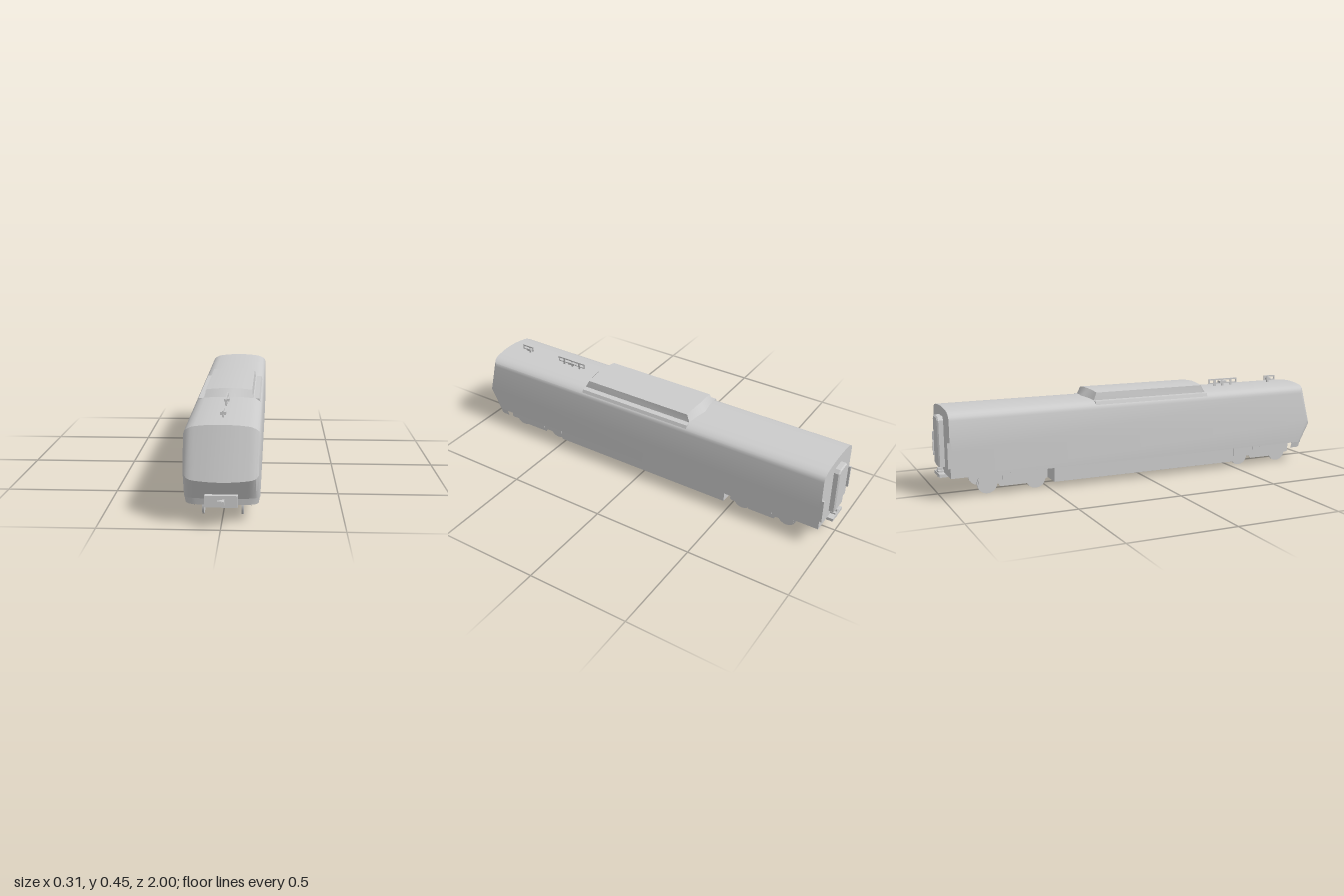
import * as THREE from 'three';
import { toCreasedNormals, mergeGeometries } from 'three/addons/utils/BufferGeometryUtils.js';

const grey = new THREE.MeshStandardMaterial({ color: 0xcccccc, side: THREE.DoubleSide });

// Surface through rows of [x, y, z] points
function grid(rows) {
  const n = rows[0].length, index = [];
  for (let i = 0; i < rows.length - 1; i++)
    for (let j = 0; j < n - 1; j++) {
      const a = i * n + j, d = a + n;
      index.push(a, a + 1, d + 1, a, d + 1, d);
    }
  const g = new THREE.BufferGeometry();
  g.setAttribute('position', new THREE.Float32BufferAttribute(rows.flat(2), 3));
  g.setIndex(index);
  return g;
}

const shape = (points) => new THREE.Shape(points.map((p) => new THREE.Vector2(...p)));

function add(parent, name, geometry) {
  const m = new THREE.Mesh(geometry, grey);
  m.name = name;
  parent.add(m);
  return m;
}

// Box given by its limits on each axis
function box(parent, name, [x0, x1], [y0, y1], [z0, z1]) {
  const m = add(parent, name, new THREE.BoxGeometry(x1 - x0, y1 - y0, z1 - z0));
  m.position.set((x0 + x1) / 2, (y0 + y1) / 2, (z0 + z1) / 2);
}

// The same box on both sides of the centre line
function boxPair(parent, name, [x0, x1], y, z) {
  box(parent, name, [x0, x1], y, z);
  box(parent, name, [-x1, -x0], y, z);
}

// Half width stations: x, roof height, height of nose crease, setback of nose
const half = [
  [0, 0.41, 0.187, 0], [0.04, 0.409, 0.188, 0.001], [0.07, 0.407, 0.189, 0.004],
  [0.11, 0.402, 0.192, 0.009], [0.125, 0.398, 0.194, 0.012], [0.14, 0.39, 0.199, 0.018],
  [0.151, 0.38, 0.211, 0.03], [0.156, 0.365, 0.222, 0.043],
];
const stations = [...half.slice(1).reverse().map(([x, ...r]) => [-x, ...r]), ...half];
const FLOOR = 0.104, BACK = -0.972;

function noseZ([, , crease, setback], y) {
  const t = y > crease ? 0.055 * (y - crease) / (0.41 - crease) : 0.05 * (crease - y) / (crease - FLOOR);
  return 0.97 - t - setback;
}

function buildBody(group) {
  const first = stations[0], last = stations[stations.length - 1];
  const outline = [
    [first, FLOOR], [first, first[2]],
    ...stations.map((s) => [s, s[1]]),
    [last, last[2]], ...[...stations].reverse().map((s) => [s, FLOOR]),
  ];
  const shell = grid(outline.map(([s, y]) => [[s[0], y, BACK], [s[0], y, noseZ(s, y)]]));
  const levels = [() => FLOOR, (s) => s[2], (s) => s[1]];
  const nose = grid(levels.map((f) => stations.map((s) => [s[0], f(s), noseZ(s, f(s))])));
  const rear = grid(levels.map((f) => [...stations].reverse().map((s) => [s[0], f(s), BACK])));
  add(group, 'bodyShell', toCreasedNormals(mergeGeometries([shell, nose, rear]), 0.52));
}

// Thin skirt that follows the nose below the floor, open at the rear
function buildApron(group) {
  const path = stations.map((s) => [s[0], noseZ(s, FLOOR)]);
  const edge = path[path.length - 1][0];
  path.unshift([-edge, 0.84]);
  path.push([edge, 0.84]);
  const row = (k, y, back) => path.map(([x, z]) => [x * k, y, z - back]);
  const rows = [row(0.96, 0.076, 0.005), row(0.99, FLOOR, 0)];
  add(group, 'frontApron', toCreasedNormals(grid(rows), 0.6));
}

// Raised roof housing with sloped, slightly pointed ends, and rails beside it
function buildRoofHousing(group) {
  const section = (z, bulge, w, y, crown) => {
    const row = [];
    for (let i = 0; i <= 8; i++) {
      const u = i / 4 - 1;
      row.push([u * w, y + crown * (1 - u * u), z + bulge * (1 - Math.abs(u))]);
    }
    return [[-0.113, 0.395, z], ...row, [0.113, 0.395, z]];
  };
  const rows = [
    section(0.335, 0.022, 0.113, 0.396, 0.012),
    section(0.313, 0.006, 0.107, 0.437, 0.008),
    section(-0.252, -0.006, 0.107, 0.437, 0.008),
    section(-0.27, -0.022, 0.113, 0.396, 0.012),
  ];
  add(group, 'roofHousing', toCreasedNormals(grid(rows), 0.4));
  for (const s of [-1, 1]) {
    const profile = shape([[s * 0.115, 0.38], [s * 0.147, 0.382], [s * 0.14, 0.4], [s * 0.115, 0.4]]);
    const rail = new THREE.ExtrudeGeometry(profile, { depth: 0.6, bevelEnabled: false });
    add(group, 'roofRail', rail).position.z = -0.27;
  }
}

// Open rail frame standing on the roof with a small box in it
function buildAerial(group, name, z0, z1, posts, boxZ) {
  const g = new THREE.Group();
  g.name = name;
  const thin = [-0.003, 0.003];
  box(g, 'topBar', thin, [0.439, 0.446], [z0, z1]);
  box(g, 'lowerBar', thin, [0.421, 0.426], [z0, z1]);
  for (const z of [z0 + 0.003, z1 - 0.003]) box(g, 'endPost', thin, [0.423, 0.444], [z - 0.003, z + 0.003]);
  for (const z of posts) box(g, 'post', thin, [0.405, 0.444], [z - 0.005, z + 0.005]);
  box(g, 'centreBox', [-0.012, 0.012], [0.423, 0.435], boxZ);
  group.add(g);
}

// Skirt panels around the underfloor equipment, open below
function buildUnderfloor(group) {
  const y = [0.028, FLOOR];
  boxPair(group, 'underfloorSide', [0.12, 0.122], y, [-0.475, 0.5]);
  box(group, 'underfloorFront', [-0.121, 0.121], y, [0.498, 0.5]);
  box(group, 'underfloorRear', [-0.121, 0.121], y, [-0.475, -0.473]);
}

// Bogie: thin outer side frames with the wheels set inside them
function buildBogie(name) {
  const g = new THREE.Group();
  g.name = name;
  const halfFrame = [[0.165, FLOOR], [0.165, 0.055], [0.158, 0.05], [0.075, 0.05], [0.065, 0.036]];
  const frame = shape([...halfFrame, ...halfFrame.map(([z, y]) => [-z, y]).reverse()]);
  const wheel = new THREE.CylinderGeometry(0.048, 0.048, 0.008, 28).rotateZ(Math.PI / 2);
  for (const s of [-1, 1]) {
    const side = add(g, 'sideFrame', new THREE.ExtrudeGeometry(frame, { depth: 0.003, bevelEnabled: false }));
    side.rotation.y = Math.PI / 2;
    side.position.x = s * 0.1175 - 0.0015;
    for (const z of [-0.117, 0.117]) add(g, 'wheel', wheel).position.set(s * 0.082, 0.048, z);
  }
  boxPair(g, 'springBox', [0.116, 0.121], [0.055, FLOOR], [-0.055, 0.055]);
  boxPair(g, 'damper', [0.118, 0.125], [0.094, FLOOR], [-0.015, 0.015]);
  return g;
}

function buildEnds(group) {
  // Front coupler
  box(group, 'couplerPlate', [-0.067, 0.067], [0.079, 0.128], [0.9, 0.955]);
  box(group, 'couplerShank', [-0.006, 0.006], [0.099, 0.111], [0.95, 0.985]);
  box(group, 'couplerHead', [-0.014, 0.004], [0.094, 0.117], [0.978, 0.992]);
  box(group, 'couplerHook', [0.006, 0.014], [0.094, 0.117], [0.968, 1]);

  // Rear gangway with clipped top corners and a bevelled edge
  const door = shape([[-0.04, 0.142], [0.04, 0.142], [0.04, 0.348], [0.03, 0.36], [-0.03, 0.36], [-0.04, 0.348]]);
  const bevel = { depth: 0.03, bevelThickness: 0.006, bevelSize: 0.006, bevelSegments: 1 };
  add(group, 'rearGangway', new THREE.ExtrudeGeometry(door, bevel)).position.z = -0.994;

  // Rear step plate, coupler and corner strips
  box(group, 'rearPlate', [-0.053, 0.053], [0.088, 0.103], [-1, -0.85]);
  box(group, 'rearCouplerFin', [-0.005, 0.005], [0.08, 0.125], [-0.998, -0.965]);
  box(group, 'rearCouplerBar', [-0.02, 0.02], [0.105, 0.113], [-0.998, -0.965]);
  boxPair(group, 'cornerStrip', [0.148, 0.157], [0.15, 0.265], [-0.983, -0.965]);
}

export function createModel() {
  const model = new THREE.Group();
  model.name = 'railcar';
  buildBody(model);
  buildApron(model);
  buildRoofHousing(model);
  buildAerial(model, 'longAerial', 0.42, 0.585, [0.455, 0.5, 0.55], [0.48, 0.52]);
  buildAerial(model, 'shortAerial', 0.755, 0.822, [0.778], [0.765, 0.79]);
  buildUnderfloor(model);
  for (const [name, z] of [['frontBogie', 0.673], ['rearBogie', -0.673]]) {
    const bogie = buildBogie(name);
    bogie.position.z = z;
    model.add(bogie);
  }
  buildEnds(model);
  return model;
}
